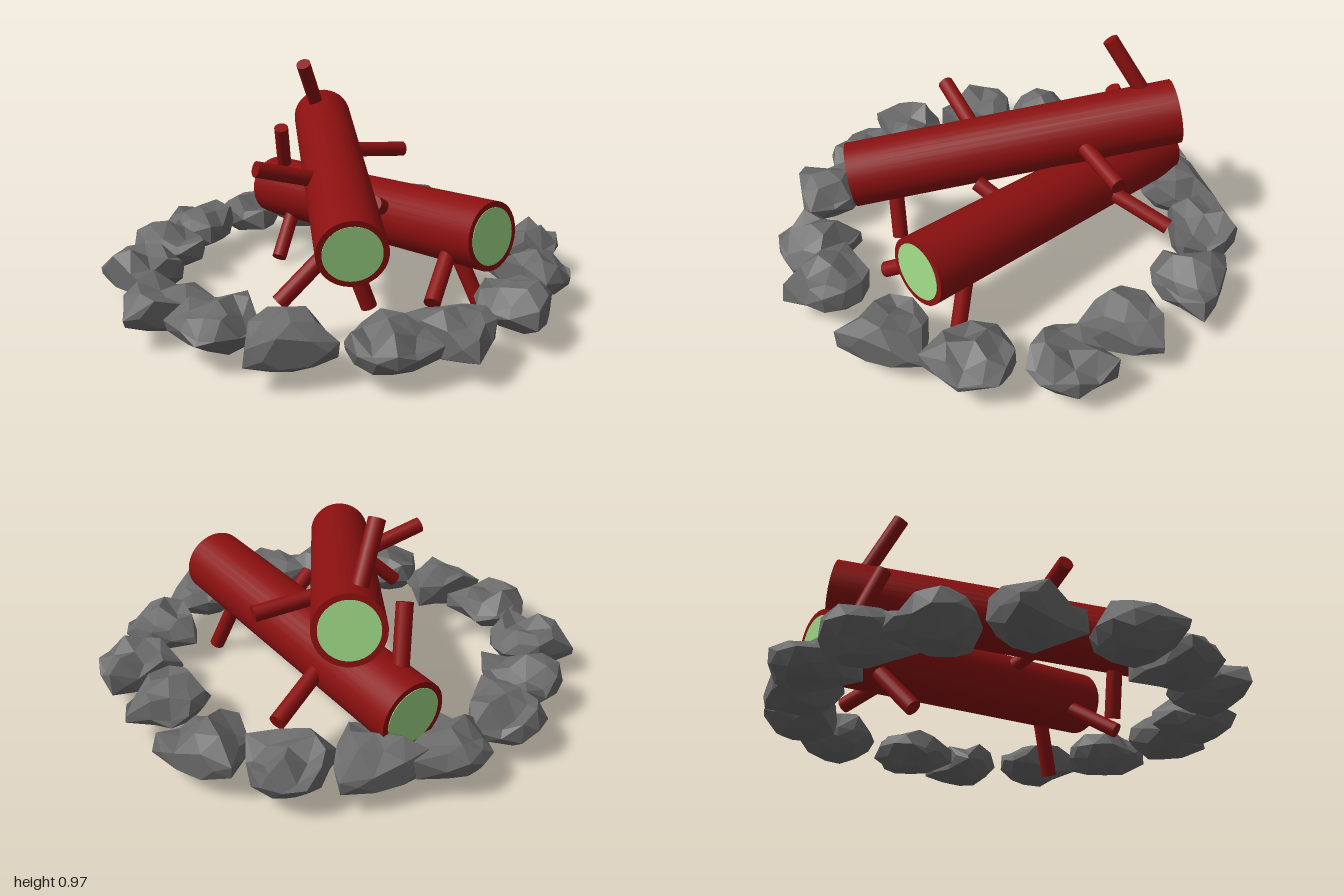
import * as THREE from 'three';

const bark = new THREE.MeshStandardMaterial({ color: 0x8b1010 });
const wood = new THREE.MeshStandardMaterial({ color: 0xa0dc88 });
const rock = new THREE.MeshStandardMaterial({ color: 0x6b6b6b, flatShading: true });

// Capped cylinder between two points
function rod(name, a, b, radius, sides, material, extra = 0) {
  const from = new THREE.Vector3(...a), to = new THREE.Vector3(...b);
  const dir = to.clone().sub(from);
  const mesh = new THREE.Mesh(
    new THREE.CylinderGeometry(radius, radius, dir.length() + extra, sides), material);
  mesh.position.copy(from).add(to).multiplyScalar(0.5);
  mesh.quaternion.setFromUnitVectors(new THREE.Vector3(0, 1, 0), dir.normalize());
  mesh.name = name;
  return mesh;
}

// Log with pale cut ends and small branches
function makeLog(name, a, b, radius, branches) {
  const log = new THREE.Group();
  log.name = name;
  log.add(rod('trunk', a, b, radius, 32, bark));
  log.add(rod('cutEnds', a, b, radius * 0.83, 32, wood, 0.005));
  branches.forEach(([base, tip]) => log.add(rod('branch', base, tip, 0.034, 16, bark)));
  return log;
}

// Repeatable noise in -1..1, equal for equal corners
function noise(x, y, z, seed) {
  const s = Math.sin(x * 127.1 + y * 311.7 + z * 74.7 + seed * 19.19) * 43758.5453;
  return 2 * (s - Math.floor(s)) - 1;
}

// Faceted stone: round, with one straight side (+x) and a jagged top
function stoneGeometry(seed) {
  const geo = new THREE.IcosahedronGeometry(1, 1);
  const p = geo.attributes.position;
  for (let i = 0; i < p.count; i++) {
    const [x, y, z] = [p.getX(i), p.getY(i), p.getZ(i)].map(v => Math.round(v * 1000) / 1000);
    const n = noise(x, y, z, seed), m = noise(z, x, y, seed + 5);
    const corner = x > 0 ? 1 + 0.9 * Math.abs(x * z) : 1;
    const spread = 0.16 * corner * (1 + 0.06 * m) * (y < -0.4 ? 0.9 : 1);
    const height = y > 0.2 ? 0.15 + 0.085 * y + 0.04 * n : 0.15 + 0.105 * y + 0.01 * n;
    p.setXYZ(i, Math.min(x * spread, 0.135), THREE.MathUtils.clamp(height, 0.055, 0.285), z * spread);
  }
  geo.computeVertexNormals();
  return geo;
}

export function createModel() {
  const model = new THREE.Group();
  model.name = 'campfire';

  model.add(makeLog('lowerLog', [0.2, 0.385, 0.68], [0.26, 0.285, -0.75], 0.145, [
    [[0.25, 0.35, -0.27], [0.62, 0.22, -0.385]],
    [[0.25, 0.3, -0.56], [0.02, 0.03, -0.45]],
    [[0.22, 0.36, 0.42], [0.29, 0.02, 0.565]],
    [[0.2, 0.36, 0.49], [-0.09, 0.16, 0.62]],
    [[0.22, 0.35, 0.13], [0.02, 0.45, 0.19]],
    [[0.23, 0.35, -0.64], [0.13, 0.64, -0.55]],
  ]));
  model.add(makeLog('upperLog', [-0.425, 0.425, 0.515], [0.44, 0.645, -0.595], 0.14, [
    [[0.37, 0.66, -0.53], [0.18, 0.955, -0.44]],
    [[-0.1, 0.54, 0.05], [-0.43, 0.64, -0.045]],
    [[0.16, 0.585, -0.23], [0.53, 0.545, -0.12]],
    [[-0.33, 0.43, 0.36], [-0.24, 0.13, 0.42]],
    [[-0.35, 0.43, 0.37], [-0.58, 0.2, 0.27]],
  ]));

  // Stones: x, z, then the direction of the straight side
  const stones = [
    [-0.17, -0.83, 0.6, 0.8], [-0.44, -0.70, 1, 0.3], [-0.68, -0.50, -1, 0.1],
    [-0.84, -0.15, -0.3, 1], [-0.80, 0.18, 0.2, -1], [-0.70, 0.46, -0.5, 0.85],
    [-0.46, 0.73, 1, 0], [-0.19, 0.82, -0.95, 0.1], [0.18, 0.82, 0.5, 0.9],
    [0.52, 0.68, -1, -0.2], [0.78, 0.44, 0, -1], [0.80, 0.11, 0.5, 0.9],
    [0.84, -0.25, 1, -0.4], [0.69, -0.55, -0.7, 0.7], [0.41, -0.71, 0.3, -0.9],
    [0.15, -0.84, 0.6, 0.7],
  ];
  const ring = new THREE.Group();
  ring.name = 'stoneRing';
  stones.forEach(([x, z, nx, nz], i) => {
    const stone = new THREE.Mesh(stoneGeometry(i + 1), rock);
    stone.name = 'stone';
    stone.position.set(x, 0, z);
    stone.rotation.y = -Math.atan2(nz, nx);
    ring.add(stone);
  });
  model.add(ring);
  return model;
}
